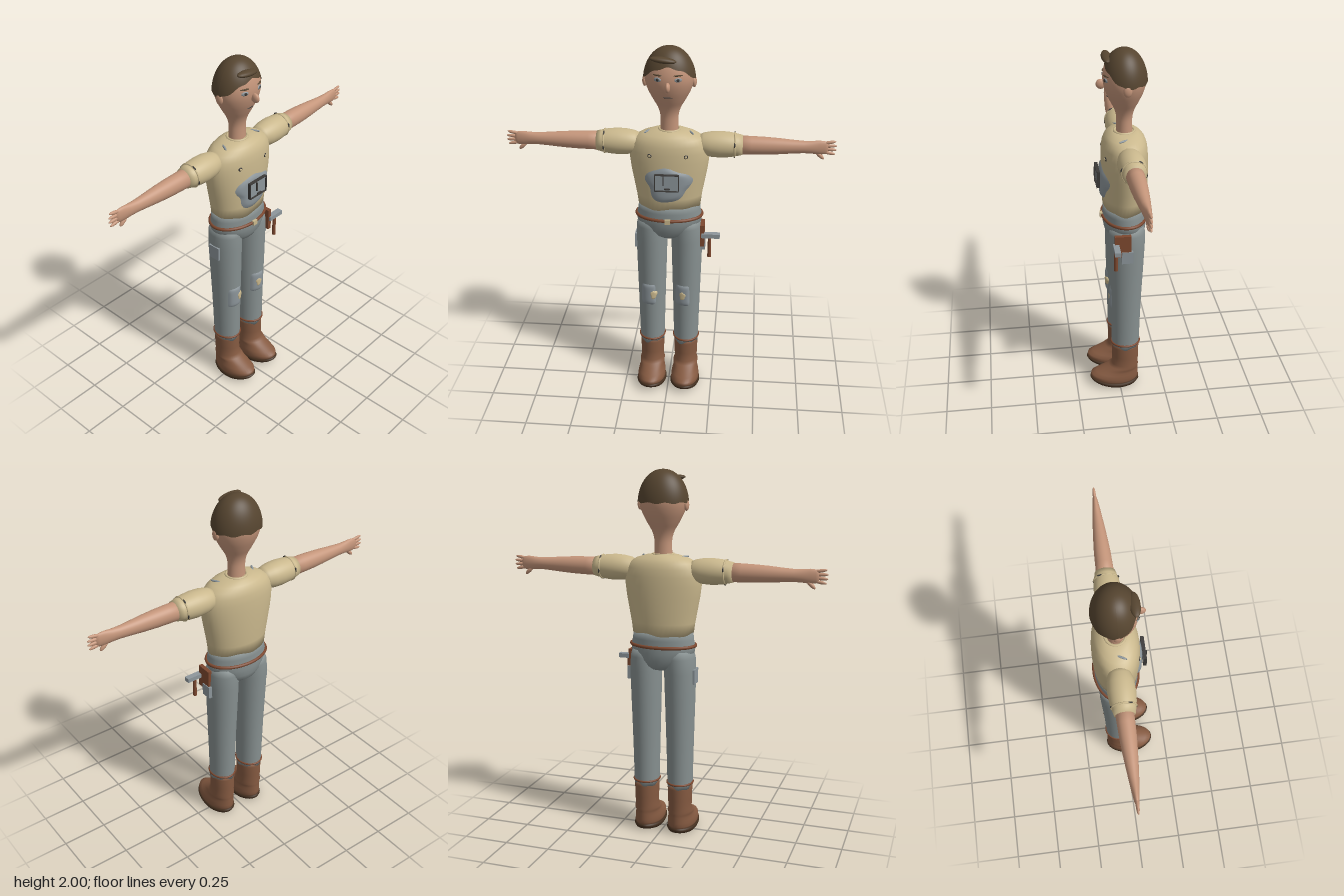
import * as THREE from 'three';

const paint = (name, color, side = THREE.FrontSide) => {
  const m = new THREE.MeshStandardMaterial({ color, side });
  m.name = name;
  return m;
};

export function createModel() {
  const model = new THREE.Group();
  model.name = 'figure';
  const skin = paint('skin', 0xc4957a);
  const shirt = paint('shirtTan', 0xcab88d);
  const cloth = paint('trouserGrey', 0x879090);
  const steel = paint('patchGrey', 0x8d969b);
  const leather = paint('bootBrown', 0x855a41);
  const strap = paint('beltBrown', 0x7d482f);
  const soleMat = paint('soleBrown', 0x45301f);
  const hairMat = paint('hairBrown', 0x564530, THREE.DoubleSide);
  const dark = paint('darkDetail', 0x3c3a38);

  const add = (name, geo, mat, parent = model) => {
    const m = new THREE.Mesh(geo, mat);
    m.name = name;
    parent.add(m);
    return m;
  };
  const box = (name, mat, w, h, d, x, y, z, rz = 0) => {
    const m = add(name, new THREE.BoxGeometry(w, h, d), mat);
    m.position.set(x, y, z);
    m.rotation.z = rz;
    return m;
  };
  const ball = (name, mat, x, y, z, sx, sy, sz, parent) => {
    const m = add(name, new THREE.SphereGeometry(1, 20, 14), mat, parent);
    m.position.set(x, y, z);
    m.scale.set(sx, sy, sz);
    return m;
  };

  // Capped loft through ellipses [y, cx, cz, rx, rz], bottom to top; wave frays the first edge
  const loft = (rings, wave = 0, n = 40) => {
    const p = [], idx = [];
    rings.forEach(([y, cx, cz, rx, rz], i) => {
      for (let j = 0; j < n; j++) {
        const a = (j / n) * Math.PI * 2;
        const fray = i ? 0 : wave * (Math.sin(a * 3) + 0.6 * Math.sin(a * 7 + 1));
        p.push(cx + rx * Math.sin(a), y + fray, cz + rz * Math.cos(a));
      }
    });
    const last = rings.length - 1, lo = p.length / 3;
    for (const r of [rings[0], rings[last]]) p.push(r[1], r[0], r[2]);
    for (let j = 0; j < n; j++) {
      const k = (j + 1) % n;
      for (let i = 0; i < last; i++) {
        const a = i * n + j, b = i * n + k;
        idx.push(a, b, b + n, a, b + n, a + n);
      }
      idx.push(lo, k, j, lo + 1, last * n + j, last * n + k);
    }
    const g = new THREE.BufferGeometry();
    g.setAttribute('position', new THREE.Float32BufferAttribute(p, 3));
    g.setIndex(idx);
    g.computeVertexNormals();
    return g;
  };

  // Thin tube around an ellipse in the horizontal plane
  const band = (name, mat, y, cx, cz, rx, rz, t) => {
    const pts = [];
    for (let i = 0; i < 24; i++) {
      const a = (i / 24) * Math.PI * 2;
      pts.push(new THREE.Vector3(cx + rx * Math.sin(a), y, cz + rz * Math.cos(a)));
    }
    return add(name, new THREE.TubeGeometry(new THREE.CatmullRomCurve3(pts, true), 64, t, 8, true), mat);
  };

  // Raised patch laid over a surface z = surf(x, y)
  const patch = (name, mat, cx, cy, w, h, outline, surf, bump) => {
    const g = new THREE.RingGeometry(0.001, 1, 48, 8), p = g.attributes.position;
    for (let i = 0; i < p.count; i++) {
      const u = p.getX(i), v = p.getY(i), rho = Math.min(1, Math.hypot(u, v)), r = outline(Math.atan2(v, u));
      const x = cx + u * r * w, y = cy + v * r * h;
      p.setXYZ(i, x, y, surf(x, y) + bump * (1 - rho ** 8) - 0.001);
    }
    g.computeVertexNormals();
    return add(name, g, mat);
  };
  const oval = () => 1;
  const square = (a) => (Math.abs(Math.cos(a)) ** 10 + Math.abs(Math.sin(a)) ** 10) ** -0.1;
  const ragged = (a) => 1 + 0.1 * Math.sin(3 * a + 0.6) + 0.06 * Math.sin(5 * a);
  const bulge = (cx, cz, rx, rz) => (x) => cz + rz * Math.sqrt(Math.max(0, 1 - ((x - cx) / rx) ** 2));

  // Torso and pelvis
  const Z = -0.037;
  add('shirt', loft([
    [1.14, 0, Z, 0.168, 0.115], [1.2, 0, Z, 0.176, 0.119], [1.27, 0, Z, 0.189, 0.122], [1.34, 0, Z, 0.202, 0.123],
    [1.4, 0, Z, 0.21, 0.123], [1.45, 0, Z, 0.211, 0.121], [1.49, 0, Z, 0.202, 0.117], [1.52, 0, Z, 0.18, 0.107],
    [1.54, 0, Z, 0.145, 0.092], [1.555, 0, Z, 0.095, 0.072], [1.562, 0, Z, 0.055, 0.055]], 0.006), shirt);
  band('collar', shirt, 1.56, 0, Z, 0.054, 0.052, 0.007);
  add('pelvis', loft([
    [0.937, 0, -0.045, 0.03, 0.03], [0.945, 0, -0.045, 0.07, 0.07], [0.965, 0, -0.043, 0.11, 0.095],
    [1.0, 0, -0.04, 0.15, 0.112], [1.04, 0, -0.038, 0.175, 0.117], [1.07, 0, Z, 0.178, 0.117],
    [1.11, 0, Z, 0.169, 0.115], [1.15, 0, Z, 0.166, 0.113]]), cloth);
  band('belt', strap, 1.075, 0, Z, 0.178, 0.118, 0.009);
  box('buckle', shirt, 0.03, 0.026, 0.014, 0, 1.075, 0.088);

  // Chest patch with its framed pocket
  const chest = bulge(0, Z, 0.2, 0.122);
  patch('chestPatch', steel, 0, 1.29, 0.118, 0.098, ragged, chest, 0.013);
  box('pocketPlate', steel, 0.12, 0.085, 0.008, -0.003, 1.31, 0.104);
  for (const s of [1, -1]) {
    box('pocketFrameSide', dark, 0.004, 0.092, 0.018, -0.003 + s * 0.062, 1.31, 0.107);
    box('pocketFrameEdge', dark, 0.124, 0.004, 0.018, -0.003, 1.31 + s * 0.045, 0.107);
  }
  box('pocketPin', dark, 0.006, 0.05, 0.008, -0.02, 1.325, 0.118);
  box('pocketLatch', dark, 0.03, 0.006, 0.008, 0, 1.28, 0.118);

  // Head and neck
  const profile = [[0.05, 1.53], [0.047, 1.6], [0.049, 1.645], [0.062, 1.685], [0.088, 1.73], [0.113, 1.78], [0.127, 1.83],
    [0.125, 1.88], [0.107, 1.93], [0.07, 1.97], [0, 1.988]].map(([r, y]) => new THREE.Vector2(r, y));
  const headGeo = new THREE.LatheGeometry(new THREE.SplineCurve(profile).getPoints(40)
    .map((v) => new THREE.Vector2(Math.max(0, v.x), v.y)), 40);
  headGeo.scale(1, 1, 0.87);
  add('headAndNeck', headGeo, skin).position.z = Z;
  const face = (r) => bulge(0, Z, r, r * 0.87);
  const nose = ball('nose', skin, 0, 1.818, 0.083, 0.014, 0.026, 0.026);
  nose.rotation.x = -0.3;
  patch('mouth', dark, 0, 1.755, 0.026, 0.003, oval, face(0.101), 0.004);

  // Hair cap whose lower edge rises over the forehead
  const hair = new THREE.SphereGeometry(1, 56, 24, 0, Math.PI * 2, 0, Math.PI / 2);
  const hp = hair.attributes.position;
  for (let i = 0; i < hp.count; i++) {
    const a = Math.atan2(hp.getZ(i), hp.getX(i)), t = Math.acos(Math.min(1, hp.getY(i))) / (Math.PI / 2);
    const edge = 1.832 + 0.082 * Math.max(0, Math.sin(a)) ** 1.5 + 0.004 * Math.sin(a * 9);
    const th = t * Math.acos((edge - 1.82) / 0.18);
    const r = Math.sin(th) ** 0.95;
    hp.setXYZ(i, 0.136 * r * Math.cos(a), 1.82 + 0.18 * Math.cos(th), Z + 0.118 * r * Math.sin(a));
  }
  hair.computeVertexNormals();
  add('hair', hair, hairMat);
  ball('forelock', hairMat, -0.025, 1.95, 0.052, 0.068, 0.016, 0.026).rotation.z = -0.12;

  for (const s of [1, -1]) {
    const side = s > 0 ? 'left' : 'right';
    // Facial features
    ball(side + 'Ear', skin, s * 0.127, 1.818, Z, 0.013, 0.03, 0.022);
    patch(side + 'Eye', steel, s * 0.052, 1.853, 0.019, 0.011, oval, face(0.128), 0.005);
    patch(side + 'Pupil', dark, s * 0.052, 1.853, 0.008, 0.009, oval, face(0.128), 0.008);
    patch(side + 'Brow', hairMat, s * 0.052, 1.876, 0.023, 0.004, oval, face(0.127), 0.006);
    // Shirt studs and shoulder tears
    patch(side + 'Stud', dark, s * 0.095, 1.445, 0.011, 0.011, oval, bulge(0, Z, 0.211, 0.122), 0.004);
    patch(side + 'StudCentre', shirt, s * 0.095, 1.445, 0.007, 0.007, oval, bulge(0, Z, 0.211, 0.122), 0.008);
    const tear = ball(side + 'ShoulderTear', steel, s * 0.115, 1.548, -0.02, 0.006, 0.006, 0.03);
    tear.rotation.y = s * 0.5;

    // Arm, built along +x and turned about for the right side
    const arm = new THREE.Group();
    arm.name = side + 'Arm';
    arm.position.set(0, 1.48, -0.04);
    arm.rotation.y = s > 0 ? 0 : Math.PI;
    model.add(arm);
    const limb = (name, rows, mat, wave) => add(name,
      loft(rows.map(([x, ry, rz]) => [x, 0, 0, ry, rz]), wave).rotateZ(-Math.PI / 2), mat, arm);
    limb('sleeve', [[0.15, 0.045, 0.045], [0.18, 0.059, 0.06], [0.22, 0.067, 0.069], [0.27, 0.07, 0.071],
      [0.32, 0.066, 0.067], [0.36, 0.058, 0.059], [0.385, 0.052, 0.053]], shirt);
    const cuff = add('cuffSeam', new THREE.TorusGeometry(0.062, 0.005, 8, 36), shirt, arm);
    cuff.position.x = 0.343;
    cuff.rotation.y = Math.PI / 2;
    for (const a of [0.3, 2.1, 3.4, 4.9]) {
      ball('cuffTear', dark, 0.343, 0.065 * Math.sin(a), 0.065 * Math.cos(a), 0.004, 0.013, 0.005, arm).rotation.x = -a;
    }
    limb('forearm', [[0.36, 0.05, 0.047], [0.43, 0.049, 0.045], [0.5, 0.047, 0.043], [0.57, 0.043, 0.038],
      [0.64, 0.037, 0.032], [0.7, 0.033, 0.026], [0.74, 0.034, 0.022], [0.78, 0.038, 0.017],
      [0.81, 0.036, 0.013], [0.825, 0.028, 0.009]], skin);
    for (let i = 0; i < 4; i++) {
      const f = ball('finger', skin, i === 0 || i === 3 ? 0.83 : 0.836, 0.029 - i * 0.019, 0, 0.036, 0.009, 0.008, arm);
      f.rotation.z = 0.18 - i * 0.12;
    }
    ball('thumb', skin, 0.785, -0.042, 0, 0.032, 0.011, 0.011, arm).rotation.z = -0.75;

    // Leg
    const cx = s * 0.097;
    add(side + 'Trouser', loft([
      [0.275, cx, -0.035, 0.069, 0.077], [0.3, cx, -0.035, 0.07, 0.078], [0.45, cx, -0.036, 0.073, 0.081],
      [0.6, cx, -0.037, 0.077, 0.085], [0.78, cx, -0.039, 0.082, 0.092], [0.93, cx, -0.041, 0.086, 0.097],
      [1.01, s * 0.095, -0.041, 0.084, 0.098], [1.05, s * 0.092, -0.04, 0.076, 0.09]], 0.008), cloth);
    band(side + 'LegStrap', strap, 0.296, cx, -0.035, 0.07, 0.079, 0.006);
    const px = s > 0 ? 0.08 : -0.11, knee = bulge(cx, -0.037, 0.078, 0.085);
    patch(side + 'KneePatch', steel, px, 0.597, 0.04, 0.066, square, knee, 0.009);
    patch(side + 'KneeHole', shirt, s > 0 ? 0.08 : -0.082, 0.597, 0.02, 0.03, ragged, knee, 0.012);

    // Boot and rocker sole
    const lift = (g) => {
      const p = g.attributes.position;
      for (let i = 0; i < p.count; i++) p.setY(i, p.getY(i) + 0.9 * (p.getZ(i) + 0.03) ** 2 * Math.max(0, 1 - p.getY(i) / 0.12));
      g.computeVertexNormals();
      return g;
    };
    add(side + 'Boot', lift(loft([
      [0.03, cx, 0.026, 0.074, 0.13], [0.045, cx, 0.027, 0.08, 0.138], [0.065, cx, 0.026, 0.079, 0.136],
      [0.085, cx, 0.012, 0.075, 0.122], [0.1, cx, 0.001, 0.069, 0.11], [0.115, cx, -0.012, 0.069, 0.097],
      [0.13, cx, -0.025, 0.071, 0.085], [0.145, cx, -0.033, 0.064, 0.075], [0.2, cx, -0.035, 0.066, 0.075],
      [0.265, cx, -0.035, 0.068, 0.076], [0.29, cx, -0.035, 0.066, 0.074]])), leather);
    add(side + 'Sole', lift(loft([
      [0.004, cx, 0.028, 0.06, 0.115], [0.008, cx, 0.028, 0.078, 0.134], [0.022, cx, 0.028, 0.085, 0.142],
      [0.032, cx, 0.028, 0.082, 0.14], [0.036, cx, 0.028, 0.076, 0.132]])), soleMat);
  }

  // Holster and hammer on the left hip, small patch on the right thigh
  box('holster', strap, 0.022, 0.125, 0.088, 0.184, 0.972, -0.008);
  box('holsterPouch', steel, 0.024, 0.07, 0.06, 0.187, 0.905, -0.032);
  box('hammerHead', steel, 0.1, 0.024, 0.032, 0.23, 0.977, 0.03);
  const handle = add('hammerHandle', new THREE.CylinderGeometry(0.009, 0.011, 0.12, 12), strap);
  handle.position.set(0.225, 0.91, 0.035);
  box('thighPatch', steel, 0.012, 0.08, 0.07, -0.182, 0.91, -0.04);
  return model;
}
